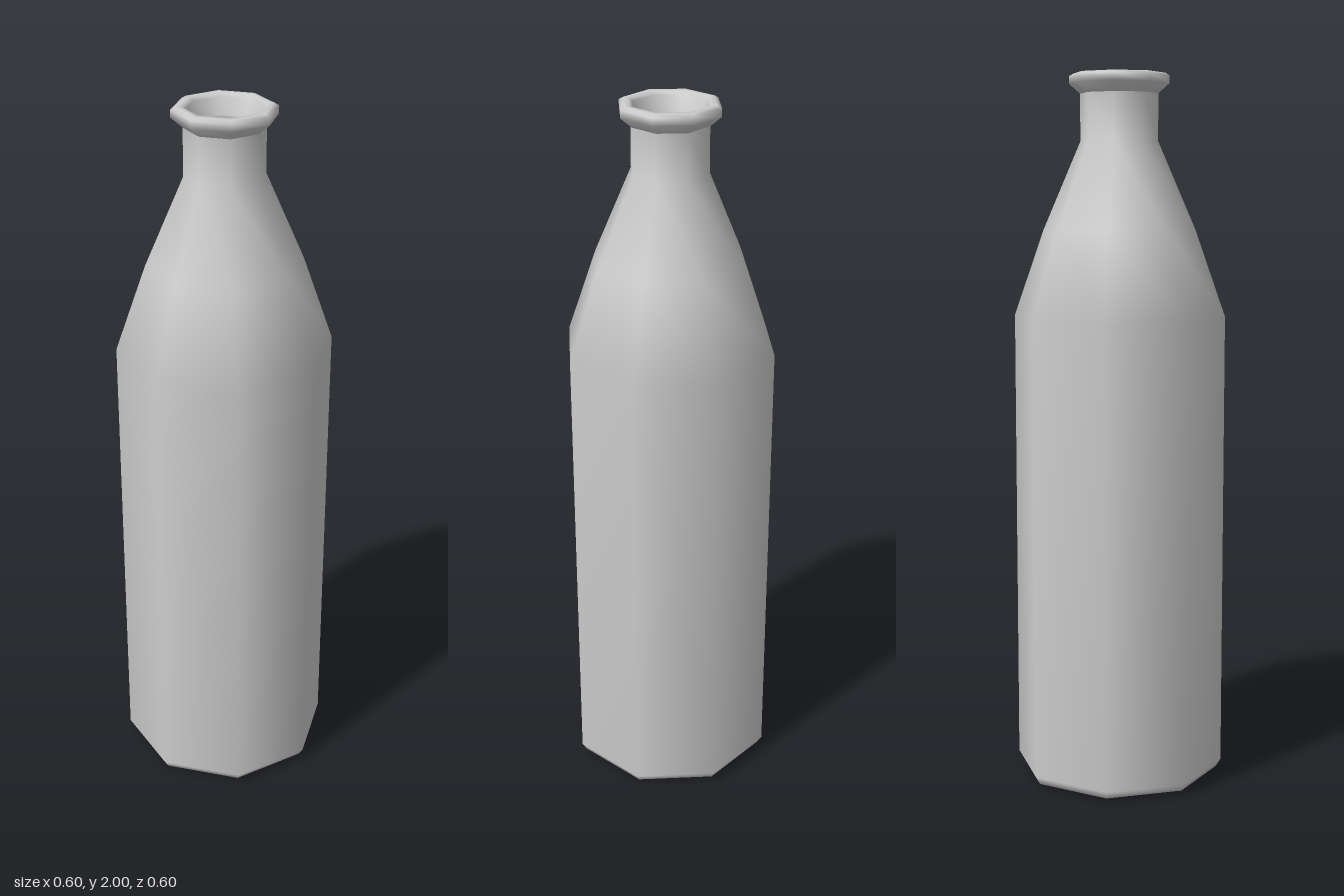
import * as THREE from 'three';

const SIDES = 8;

// Revolves [radius, height] pairs into a smooth-shaded eight-sided surface
function turned(name, profile, material) {
  const points = profile.map(([r, y]) => new THREE.Vector2(r, y));
  const mesh = new THREE.Mesh(new THREE.LatheGeometry(points, SIDES), material);
  mesh.name = name;
  return mesh;
}

export function createModel() {
  const group = new THREE.Group();
  group.name = 'bottle';
  const glass = new THREE.MeshStandardMaterial({ color: 0xcccccc });

  // Base, straight body, shoulder and neck
  group.add(turned('body', [
    [0, 0], [0.24, 0], [0.285, 0.012], [0.299, 0.035],
    [0.299, 1.33], [0.215, 1.57], [0.109, 1.815], [0.109, 1.945],
  ], glass));

  // Flared lip, rolling over into the mouth
  group.add(turned('lip', [
    [0.109, 1.945], [0.14, 1.972], [0.14, 1.993], [0.128, 2],
    [0.112, 2], [0.103, 1.99], [0.087, 1.945],
  ], glass));

  // Hollow inside, from the mouth down to the floor
  group.add(turned('interior', [
    [0.087, 1.945], [0.087, 1.815], [0.193, 1.57], [0.277, 1.33],
    [0.277, 0.05], [0.25, 0.025], [0, 0.025],
  ], glass));

  return group;
}
